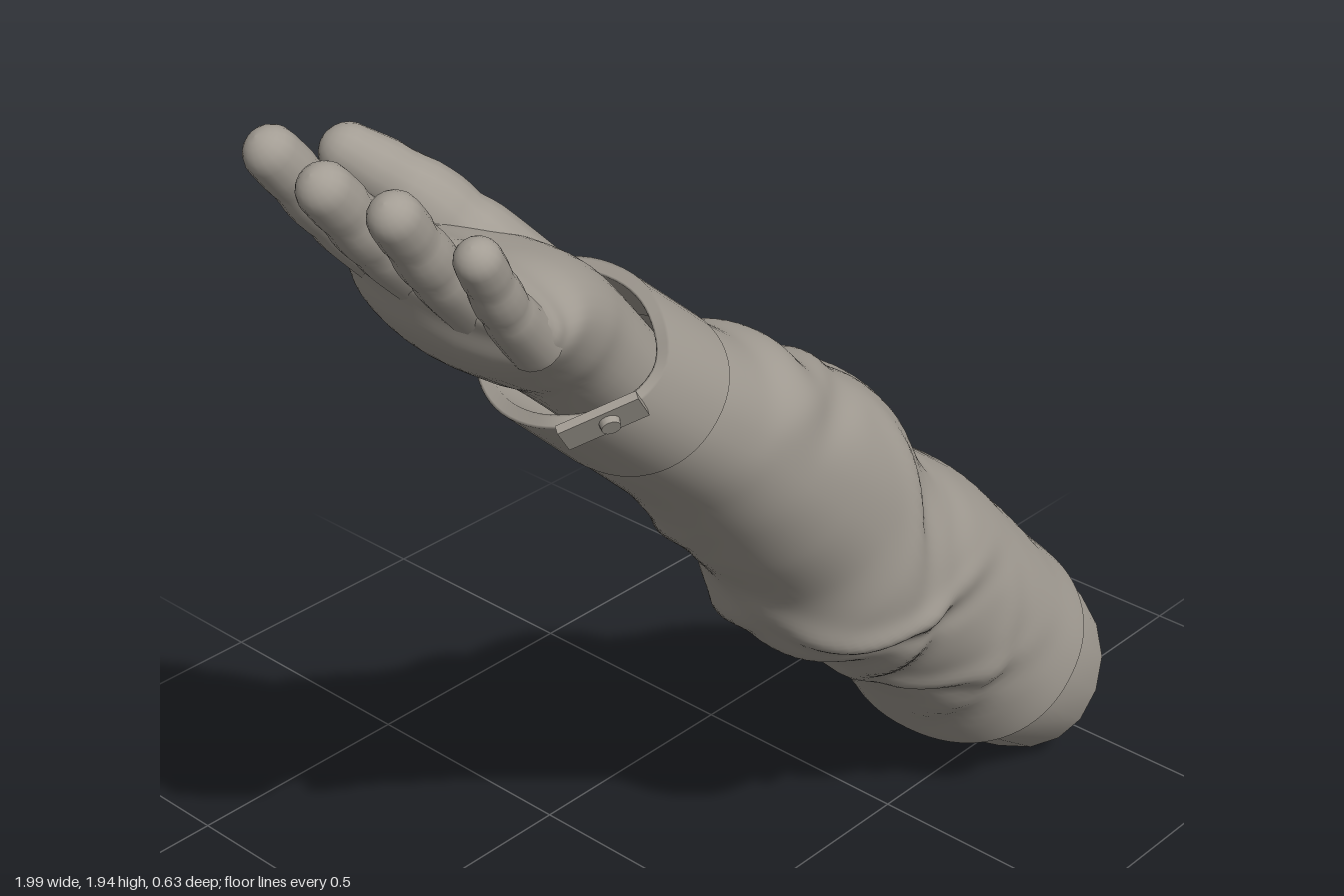
import * as THREE from 'three';

const fabric = new THREE.MeshStandardMaterial({ color: 0xa39d94, side: THREE.DoubleSide });
fabric.name = 'warm grey';

// The arm lies on a diagonal: s runs down the arm, w across it (palm side up)
const at = (s, w, z) => new THREE.Vector3((s + w) / 2, (w - s) / 2, z);

// Skin a list of closed rings
function loft(rings) {
  const n = rings[0].length, pos = [], idx = [];
  rings.forEach(r => r.forEach(p => pos.push(p.x, p.y, p.z)));
  for (let i = 0; i < rings.length - 1; i++) {
    for (let j = 0; j < n; j++) {
      const a = i * n + j, b = i * n + (j + 1) % n;
      idx.push(a, b, a + n, b, b + n, a + n);
    }
  }
  const g = new THREE.BufferGeometry();
  g.setAttribute('position', new THREE.Float32BufferAttribute(pos, 3));
  g.setIndex(idx);
  g.computeVertexNormals();
  return g;
}

// Ring from a row [s, upper w, lower w, min z, max z]; warp may move s and push outwards
function ring([s, u, l, z0, z1], n, warp = () => ({}), grow = 0) {
  return Array.from({ length: n }, (_, j) => {
    const t = (j / n) * Math.PI * 2, c = Math.cos(t), q = Math.sin(t);
    const soft = v => Math.sign(v) * Math.pow(Math.abs(v), 0.92);
    const z = (z0 + z1) / 2 + soft(q) * (z1 - z0) / 2;
    const { ds = 0, out = 0 } = warp(s, t, z);
    const o = out + grow;
    return at(s + ds, (u + l) / 2 + soft(c) * (u - l) / 2 + c * o * 1.41, z + q * o);
  });
}

// Smoothly resample rows
function resample(rows, count) {
  const cols = rows[0].map((_, c) => new THREE.SplineCurve(rows.map((r, i) => new THREE.Vector2(i, r[c]))));
  return Array.from({ length: count + 1 }, (_, i) => cols.map(k => k.getPoint(i / count).y));
}

// Cloth folds: [s, angle, slope, half-length, width, height]
const folds = [
  [-1.3, -1.2, 0.15, 0.8, 0.06, 0.012],
  [-1.12, 0.3, -0.2, 0.7, 0.07, 0.012],
  [-1.02, -1.3, 0.25, 0.9, 0.06, 0.018],
  [-0.82, -1.9, 0.25, 0.9, 0.06, 0.018],
  [-0.8, -0.3, 0.22, 0.7, 0.06, 0.017],
  [-0.6, -1.3, 0.28, 1.0, 0.06, 0.02],
  [-0.42, -2.2, 0.25, 0.9, 0.06, 0.017],
  [-0.3, -0.9, 0.3, 0.9, 0.06, 0.018],
  [-0.02, -1.7, 0.25, 1.0, 0.07, 0.017],
  [-0.5, 2.2, -0.25, 0.7, 0.06, 0.018],
  [-0.28, 2.3, 0.2, 0.7, 0.05, 0.015],
  [-0.05, 2.6, -0.2, 0.7, 0.06, 0.014],
  [0.15, 2.3, 0.2, 0.7, 0.05, 0.011],
  [-0.7, 1.2, 0.35, 0.5, 0.07, 0.01],
];
function cloth(s, t) {
  let out = -0.004;
  for (const [s0, a, slope, len, width, height] of folds) {
    const d = Math.atan2(Math.sin(t - a), Math.cos(t - a));
    const e = (s - s0 - slope * d) / width;
    const along = Math.exp(-((d / len) ** 2));
    out += height * along * (Math.exp(-e * e) - 0.55 * Math.exp(-((e - 1.7) ** 2)));
  }
  return { out: out * THREE.MathUtils.smoothstep(s, -1.62, -1.4) * (1 - THREE.MathUtils.smoothstep(s, 0.25, 0.45)) };
}

// Rounded, tapering digit through a few points
function digit(points, r0, r1) {
  const curve = new THREE.CatmullRomCurve3(points), rings = [];
  const add = (p, T, r) => {
    const n = new THREE.Vector3(0, 0, 1).cross(T).normalize(), b = T.clone().cross(n);
    rings.push(Array.from({ length: 16 }, (_, j) => {
      const a = (j / 16) * Math.PI * 2;
      return p.clone().addScaledVector(n, Math.cos(a) * r).addScaledVector(b, Math.sin(a) * r);
    }));
  };
  for (let i = 0; i <= 20; i++) {
    const t = i / 20;
    const joint = 1 - 0.07 * (Math.exp(-(((t - 0.5) / 0.05) ** 2)) + Math.exp(-(((t - 0.78) / 0.05) ** 2)));
    add(curve.getPointAt(t), curve.getTangentAt(t), THREE.MathUtils.lerp(r0, r1, t) * joint);
  }
  const end = curve.getPointAt(1), T = curve.getTangentAt(1);
  for (let k = 1; k <= 6; k++) {
    const a = (k / 6) * Math.PI / 2;
    add(end.clone().addScaledVector(T, Math.sin(a) * r1), T, Math.max(Math.cos(a), 0.001) * r1);
  }
  return loft(rings);
}

export function createModel() {
  const group = new THREE.Group();
  const add = (name, geometry, parent = group) => {
    const m = new THREE.Mesh(geometry, fabric);
    m.name = name;
    parent.add(m);
    return m;
  };

  // Wrinkled sleeve with a narrow turned-in hem
  const rows = resample([
    [-1.66, 1.22, 0.80, -0.125, 0.245], [-1.46, 1.26, 0.80, -0.14, 0.255],
    [-1.32, 1.32, 0.80, -0.15, 0.26], [-1.17, 1.32, 0.79, -0.17, 0.26],
    [-0.98, 1.38, 0.77, -0.19, 0.26], [-0.76, 1.40, 0.76, -0.21, 0.26],
    [-0.59, 1.35, 0.70, -0.23, 0.265], [-0.46, 1.36, 0.69, -0.235, 0.265],
    [-0.32, 1.38, 0.74, -0.24, 0.265], [-0.15, 1.40, 0.75, -0.26, 0.26],
    [0.12, 1.40, 0.77, -0.285, 0.26], [0.45, 1.40, 0.73, -0.31, 0.26],
  ], 110);
  const hem = rows[rows.length - 1];
  add('sleeve', loft(rows.map(r => ring(r, 72, cloth))));
  add('sleeveHem', loft([ring(hem, 72), ring(hem, 72, undefined, -0.01)]));

  // Lining that sticks out of the sleeve, its open end cut on a slant
  const slant = (s, t) => ({
    ds: s > 0.5 ? (Math.sin(t) > 0 ? 0.04 : 0.13) * Math.sin(t) - 0.1 * Math.cos(t) : 0,
  });
  add('lining', loft([
    [-0.1, 1.31, 0.84, -0.2, 0.2], [0.3, 1.36, 0.79, -0.27, 0.235],
    [0.44, 1.388, 0.748, -0.3, 0.25], [0.71, 1.385, 0.82, -0.3, 0.215],
  ].map(r => ring(r, 20, slant))));

  // Cuff: inner wall, rim, outer wall; the rim dips at the side and reaches out below
  const cuffEnd = [-1.9, 1.21, 0.79, -0.12, 0.24], cuffBase = [-1.63, 1.23, 0.80, -0.13, 0.25];
  const bump = (t, a, w) => Math.exp(-(((t - a) / w) ** 2));
  const dip = (s, t) => ({ ds: s < -1.8 ? 0.035 * bump(t, 1.4, 0.45) - 0.04 * bump(t, 2.7, 0.6) : 0 });
  add('cuff', loft([
    ring(cuffBase, 56, dip, -0.03), ring(cuffEnd, 56, dip, -0.022), ring(cuffEnd, 56, dip, -0.018),
    ring(cuffEnd, 56, dip, -0.002), ring(cuffEnd, 56, dip, 0.003), ring(cuffBase, 56, dip, 0.004),
  ]));

  // Buttoned tab lying on the cuff
  const tab = new THREE.Group();
  tab.name = 'cuffTab';
  const angle = 2.25, up = new THREE.Vector3(Math.SQRT1_2, Math.SQRT1_2, 0), side = new THREE.Vector3(0, 0, 1);
  const normal = up.clone().multiplyScalar(Math.cos(angle)).addScaledVector(side, Math.sin(angle));
  const along = up.clone().multiplyScalar(Math.sin(angle)).addScaledVector(side, -Math.cos(angle));
  tab.quaternion.setFromRotationMatrix(new THREE.Matrix4().makeBasis(along, normal.clone().cross(along), normal));
  tab.rotateZ(-0.2);
  tab.position.copy(at(-1.91, 0.87, 0.203));
  add('tabStrap', new THREE.BoxGeometry(0.14, 0.055, 0.016), tab);
  const button = add('tabButton', new THREE.CylinderGeometry(0.016, 0.018, 0.016, 16), tab);
  button.rotation.x = Math.PI / 2;
  button.position.set(0.01, 0, 0.012);
  group.add(tab);

  // Palm, its finger end slanting back toward the little finger
  const knuckles = (s, t, z) => ({
    ds: 0.75 * Math.max(0, z - 0.1) * (1 - THREE.MathUtils.smoothstep(s, -2.48, -2.15)),
    out: -0.014 * Math.exp(-((t > 3 ? t - 6.283 : t) ** 2) * 6) * Math.exp(-(((s + 2.3) / 0.12) ** 2)),
  });
  add('palm', loft(resample([
    [-2.53, 0.94, 0.93, 0.08, 0.1], [-2.52, 0.985, 0.88, -0.05, 0.26],
    [-2.46, 1.02, 0.85, -0.09, 0.28], [-2.37, 1.06, 0.81, -0.125, 0.275],
    [-2.24, 1.12, 0.80, -0.145, 0.265], [-2.1, 1.16, 0.82, -0.13, 0.24],
    [-1.95, 1.16, 0.85, -0.095, 0.215], [-1.6, 1.12, 0.86, -0.07, 0.2],
  ], 42).map(r => ring(r, 40, knuckles))));

  // Fingers: [name, base, tip, radius]
  [
    ['indexFinger', [-2.4, 0.94, -0.025], [-2.83, 0.97, -0.047], 0.049],
    ['middleFinger', [-2.42, 0.93, 0.07], [-2.83, 0.94, 0.085], 0.049],
    ['ringFinger', [-2.38, 0.92, 0.155], [-2.78, 0.95, 0.197], 0.047],
    ['littleFinger', [-2.28, 0.91, 0.23], [-2.64, 0.96, 0.283], 0.042],
  ].forEach(([name, base, tip, r]) => {
    const a = at(...base), b = at(...tip);
    const mid = a.clone().lerp(b, 0.5).add(at(0, -0.012, 0));
    add(name, digit([a, mid, b], r * 1.1, r * 0.88));
  });

  // Thumb, broad at its root where it joins the palm
  add('thumb', digit([
    at(-1.98, 1.03, 0), at(-2.18, 1.08, -0.065), at(-2.33, 1.11, -0.125), at(-2.46, 1.11, -0.18),
  ], 0.105, 0.049));

  return group;
}
